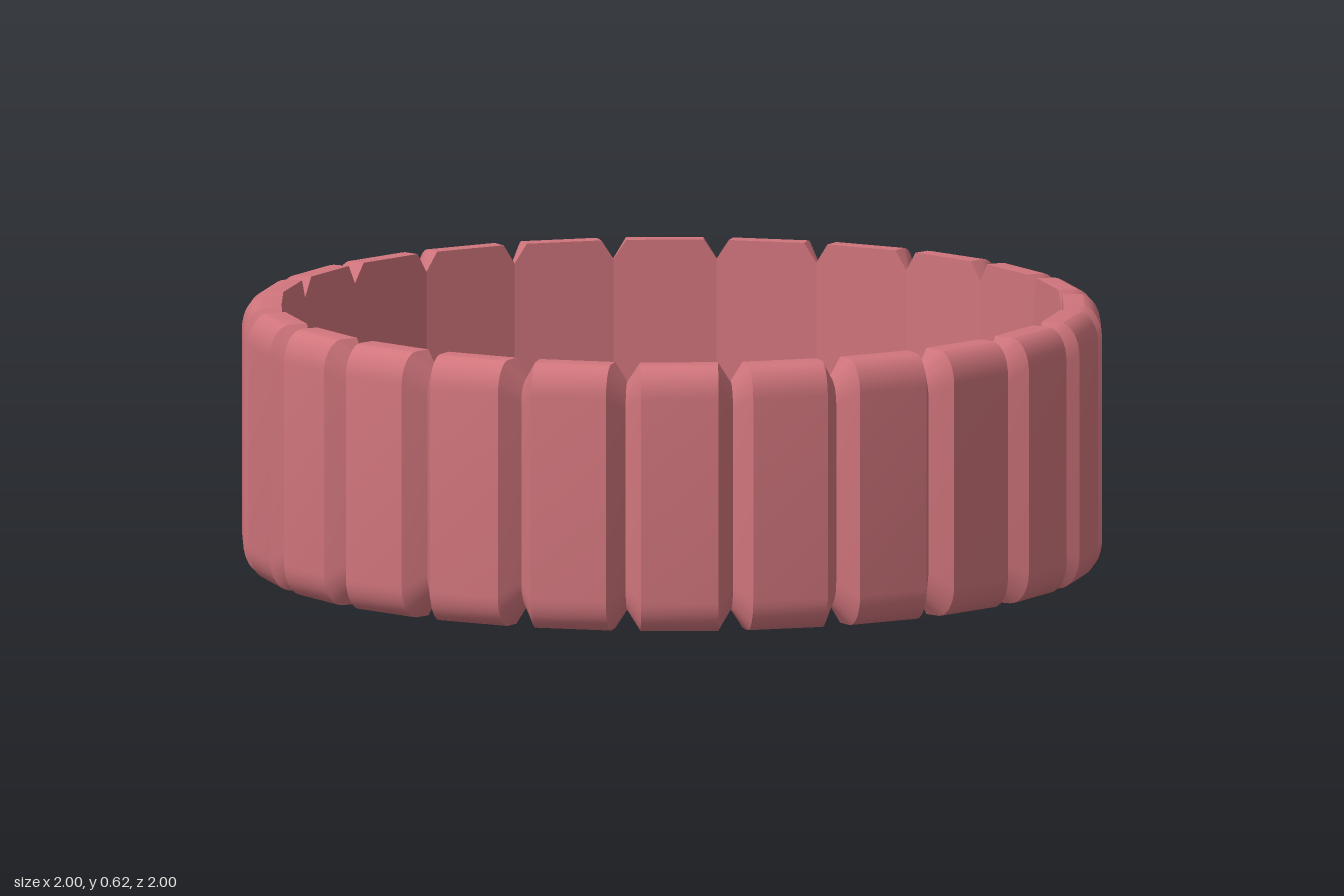
import * as THREE from 'three';
import { toCreasedNormals } from 'three/addons/utils/BufferGeometryUtils.js';

const COUNT = 24;
const HALF = Math.PI / COUNT; // half the angle of one link
const INNER = 0.907;          // distance of the flat inner face from the axis
const ARC = 8;

// Cross-section [radius, height]: flat inside, rounded outer corners
function profile(outer, low, high, rx, ry) {
  const pts = [[INNER, high]];
  for (let i = 0; i <= ARC; i++) {
    const a = (i / ARC) * Math.PI / 2;
    pts.push([outer - rx + rx * Math.sin(a), high - ry + ry * Math.cos(a)]);
  }
  for (let i = ARC; i >= 0; i--) {
    const a = (i / ARC) * Math.PI / 2;
    pts.push([outer - rx + rx * Math.sin(a), low + ry - ry * Math.cos(a)]);
  }
  pts.push([INNER, low]);
  return pts;
}

// One link: lofted from groove to raised face and back to groove
function linkGeometry() {
  const groove = profile(0.947, 0.045, 0.58, 0.036, 0.06);
  const face = profile(0.9965, 0, 0.625, 0.05, 0.075);
  const toGroove = (side) => groove.map(([r, y]) => [side * r * Math.tan(HALF), y, r]);
  const toFace = (side) => face.map(([r, y]) => [side * 0.09, y, r]);
  const rows = [toGroove(-1), toFace(-1), toFace(1), toGroove(1)];
  const n = face.length;
  const pos = [];
  for (let s = 0; s < rows.length - 1; s++) {
    for (let p = 0; p < n; p++) {
      const q = (p + 1) % n;
      const a = rows[s][p], b = rows[s][q], c = rows[s + 1][q], d = rows[s + 1][p];
      pos.push(...a, ...b, ...d, ...b, ...c, ...d);
    }
  }
  const geo = new THREE.BufferGeometry();
  geo.setAttribute('position', new THREE.Float32BufferAttribute(pos, 3));
  return toCreasedNormals(geo, THREE.MathUtils.degToRad(16));
}

export function createModel() {
  const model = new THREE.Group();
  model.name = 'segmentedRing';
  const material = new THREE.MeshStandardMaterial({ color: 0xd0757c });
  const geometry = linkGeometry();
  for (let i = 0; i < COUNT; i++) {
    const link = new THREE.Mesh(geometry, material);
    link.name = `ringLink${i + 1}`;
    link.rotation.y = (2 * i + 1) * HALF;
    model.add(link);
  }
  return model;
}
